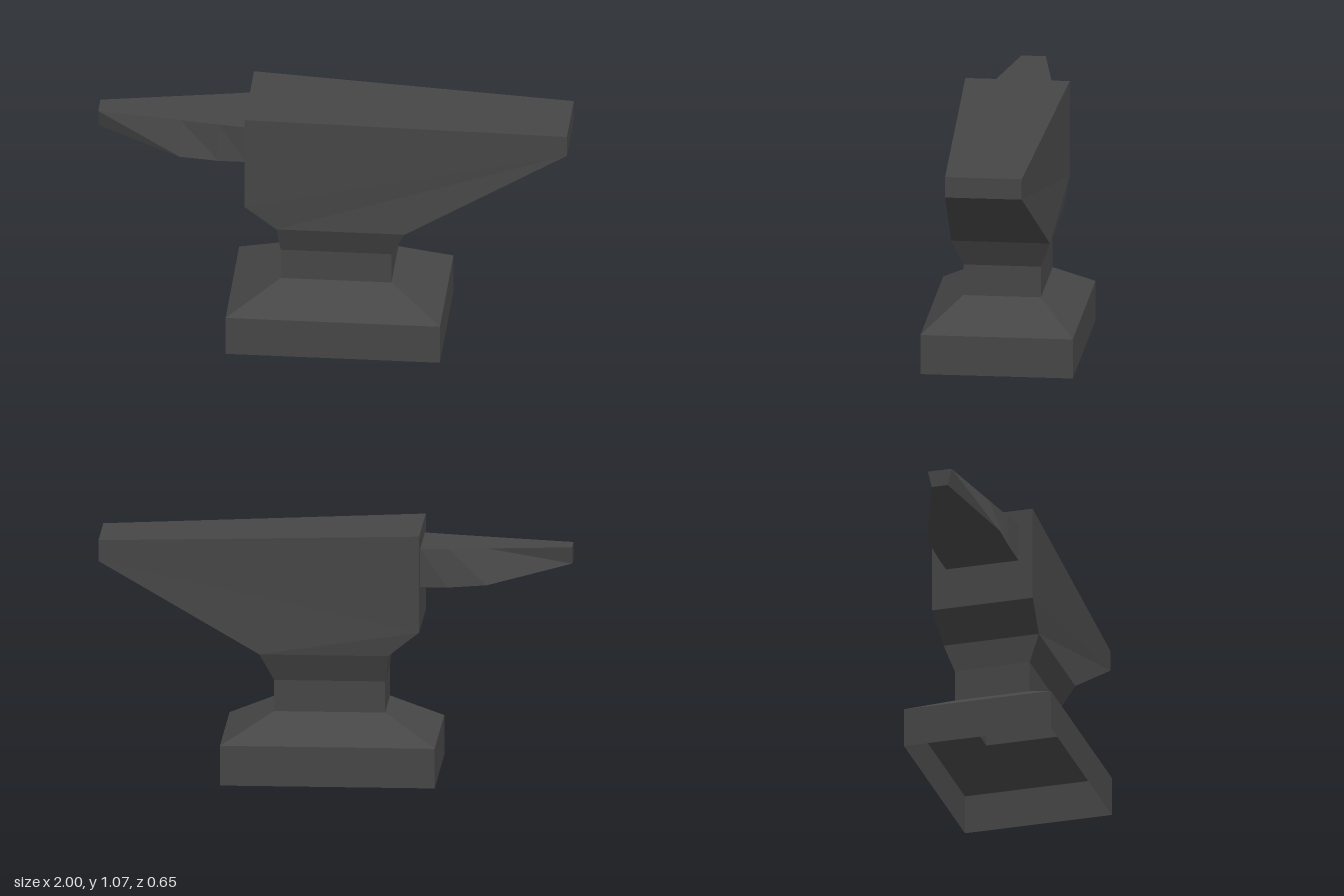
import * as THREE from 'three';

// Joins four-cornered rings into a faceted skin, with optional end cap
function loft(rings, capEnd = false) {
  const pos = [];
  const quad = (a, b, c, d) => pos.push(...a, ...b, ...c, ...a, ...c, ...d);
  for (let r = 0; r < rings.length - 1; r++) {
    const lo = rings[r], hi = rings[r + 1];
    for (let i = 0; i < 4; i++) {
      const j = (i + 1) % 4;
      quad(lo[i], lo[j], hi[j], hi[i]);
    }
  }
  if (capEnd) quad(...rings[rings.length - 1]);
  const geometry = new THREE.BufferGeometry();
  geometry.setAttribute('position', new THREE.Float32BufferAttribute(pos, 3));
  geometry.computeVertexNormals();
  return geometry;
}

// Ring seen from above: each end has its own x, height and half width
const level = (xl, yl, wl, xr, yr, wr) => [
  [xl, yl, wl], [xr, yr, wr], [xr, yr, -wr], [xl, yl, -wl],
];
const flat = (y, xl, xr, w) => level(xl, y, w, xr, y, w);

// Upright ring across the horn
const section = (x, yBottom, wBottom, yTop, wTop) => [
  [x, yBottom, -wBottom], [x, yBottom, wBottom], [x, yTop, wTop], [x, yTop, -wTop],
];

export function createModel() {
  const group = new THREE.Group();
  const iron = new THREE.MeshStandardMaterial({ color: 0x464646, side: THREE.DoubleSide });
  iron.name = 'dark iron';

  const add = (name, geometry) => {
    const mesh = new THREE.Mesh(geometry, iron);
    mesh.name = name;
    group.add(mesh);
  };

  const waistBottom = flat(0.29, -0.215, 0.255, 0.165);
  const waistTop = flat(0.545, -0.23, 0.315, 0.21);

  // Hollow foot, open underneath
  add('base', loft([
    flat(0, -0.435, 0.475, 0.324),
    flat(0.172, -0.435, 0.475, 0.324),
    waistBottom,
  ]));

  // Straight neck flaring up to the body
  add('waist', loft([waistBottom, flat(0.425, -0.215, 0.255, 0.165), waistTop]));

  // Body with the long tapering heel and sloping face
  add('body', loft([
    waistTop,
    level(-0.363, 0.652, 0.222, 1, 0.93, 0.163),
    level(-0.363, 1.068, 0.222, 1, 1.02, 0.163),
  ], true));

  // Flat-topped horn, widest along its lower edges
  add('horn', loft([
    section(-0.363, 0.835, 0.16, 1.0, 0.16),
    section(-0.48, 0.835, 0.16, 0.998, 0.14),
    section(-0.645, 0.847, 0.16, 0.996, 0.112),
    section(-1, 0.918, 0.035, 0.992, 0.052),
  ], true));

  return group;
}
